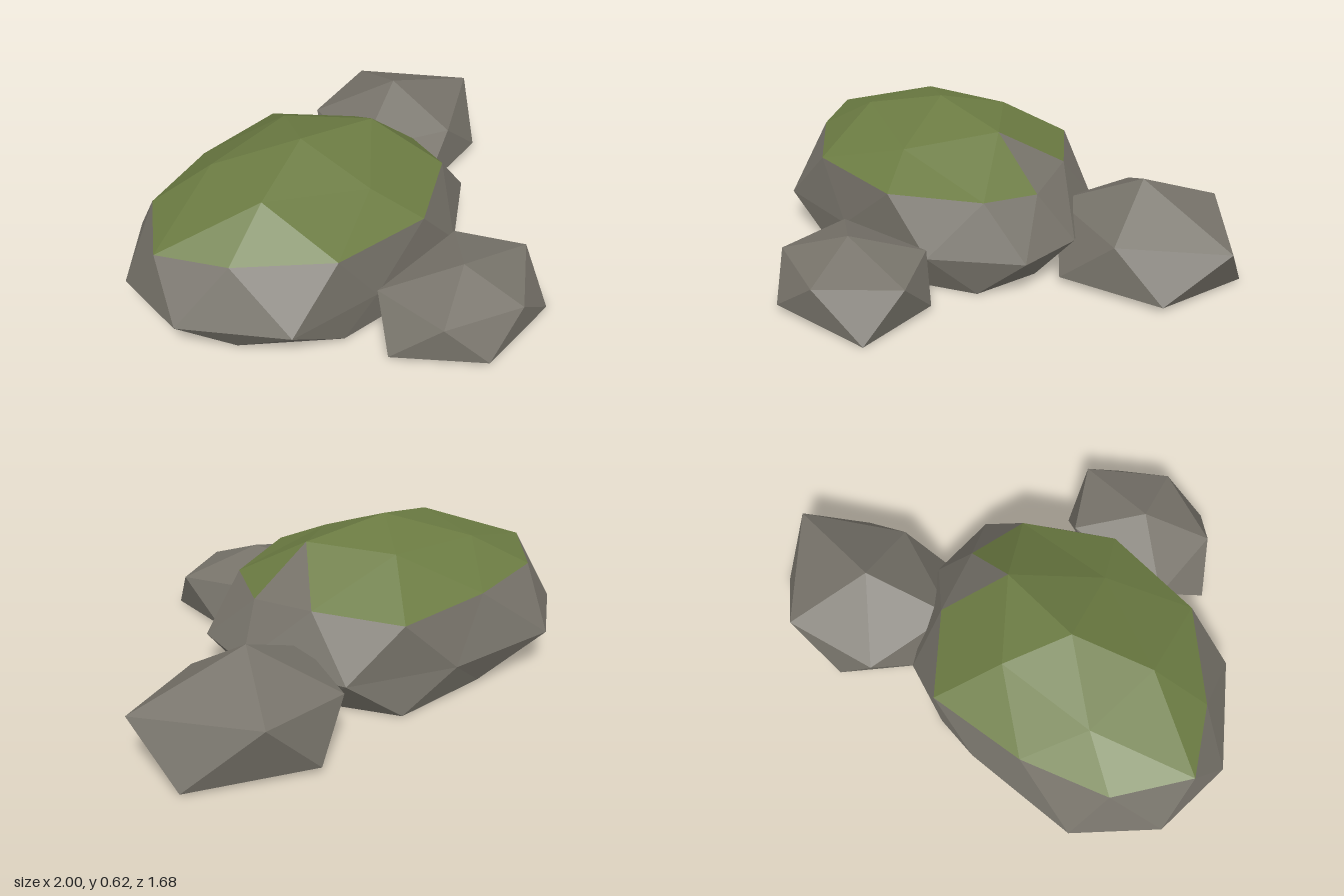
import * as THREE from 'three';

const stone = new THREE.MeshStandardMaterial({ name: 'stone grey', color: 0x77736a, flatShading: true });
const moss = new THREE.MeshStandardMaterial({ name: 'moss green', color: 0x6b7b42, flatShading: true });

// All rings run from +x towards +z; faces are wound to point outwards.
const fan = (top, ring) => ring.map((p, i) => [top, ring[(i + 1) % ring.length], p]);
const floorFan = (bottom, ring) => ring.map((p, i) => [bottom, p, ring[(i + 1) % ring.length]]);

// Joins two rings of equal count, the lower one turned half a step onwards.
function strip(upper, lower) {
  const n = upper.length;
  return upper.flatMap((p, i) => {
    const j = (i + 1) % n;
    return [[p, upper[j], lower[i]], [upper[j], lower[j], lower[i]]];
  });
}

// Joins a ring of n to a lower ring of 2n; three faces per upper corner.
function widen(upper, lower) {
  const n = upper.length, m = lower.length;
  return upper.flatMap((p, i) => [
    [p, lower[2 * i + 1], lower[2 * i]],
    [p, upper[(i + 1) % n], lower[2 * i + 1]],
    [p, lower[2 * i], lower[(2 * i + m - 1) % m]],
  ]);
}

function facetMesh(name, faces, material) {
  const geometry = new THREE.BufferGeometry();
  geometry.setAttribute('position', new THREE.Float32BufferAttribute(faces.flat(2), 3));
  geometry.computeVertexNormals();
  const mesh = new THREE.Mesh(geometry, material);
  mesh.name = name;
  return mesh;
}

// Large boulder with a mossy cap
function createBoulder() {
  const peak = [-0.27, 0.62, -0.11];
  const crown = [[0.09, 0.565, -0.11], [-0.16, 0.49, 0.18], [-0.57, 0.54, 0.04],
    [-0.57, 0.53, -0.3], [-0.16, 0.555, -0.37]];
  const shoulder = [[0.32, 0.37, -0.11], [0.27, 0.39, 0.13], [-0.04, 0.39, 0.36], [-0.47, 0.405, 0.37],
    [-0.79, 0.4, 0.13], [-0.96, 0.4, -0.11], [-0.79, 0.4, -0.4], [-0.45, 0.4, -0.55],
    [-0.04, 0.39, -0.63], [0.21, 0.4, -0.37]];
  const belly = [[0.45, 0.07], [0.16, 0.33], [-0.3, 0.39], [-0.7, 0.38], [-1, 0.05], [-1, -0.3],
    [-0.76, -0.58], [-0.27, -0.65], [0.18, -0.58], [0.43, -0.22]].map(([x, z]) => [x, 0.17, z]);
  const foot = [[0.28, 0.005, 0.17], [-0.04, 0.01, 0.36], [-0.45, 0.015, 0.37], [-0.79, 0.02, 0.14],
    [-0.91, 0.04, -0.11], [-0.79, 0.02, -0.4], [-0.45, 0.02, -0.55], [-0.04, 0.01, -0.63],
    [0.21, 0.01, -0.37], [0.32, 0.01, -0.11]];

  // One facet on the right of the cap stays bare stone
  const cap = [...fan(peak, crown), ...widen(crown, shoulder)];
  const isBare = (face) => face.includes(crown[0]) && face.includes(shoulder[0]) && face.includes(shoulder[9]);
  const sides = [...strip(shoulder, belly), ...strip(belly, foot), ...floorFan([-0.27, 0.005, -0.11], foot)];

  const boulder = new THREE.Group();
  boulder.name = 'boulder';
  boulder.add(
    facetMesh('mossCap', cap.filter((f) => !isBare(f)), moss),
    facetMesh('boulderSides', [...sides, ...cap.filter(isBare)], stone),
  );
  return boulder;
}

// Small twelve-cornered rock
function createRock(name, top, upper, lower, bottom) {
  return facetMesh(name, [...fan(top, upper), ...strip(upper, lower), ...floorFan(bottom, lower)], stone);
}

export function createModel() {
  const model = new THREE.Group();
  model.name = 'mossyRocks';
  model.add(createBoulder());
  model.add(createRock('frontRock', [-0.02, 0.285, 0.57],
    [[0.33, 0.2, 0.57], [0.07, 0.18, 0.81], [-0.26, 0.19, 0.72], [-0.3, 0.19, 0.39], [0.16, 0.21, 0.33]],
    [[0.29, 0.005, 0.74], [-0.13, 0.035, 0.84], [-0.4, 0.035, 0.57], [-0.13, 0.03, 0.31], [0.26, 0.03, 0.39]],
    [-0.02, 0.01, 0.57]));
  model.add(createRock('backRock', [0.54, 0.4, -0.49],
    [[1, 0.24, -0.49], [0.64, 0.22, -0.22], [0.22, 0.24, -0.33], [0.27, 0.24, -0.72], [0.64, 0.26, -0.84]],
    [[0.86, 0.03, -0.27], [0.43, 0.03, -0.14], [0.17, 0.02, -0.49], [0.41, 0.03, -0.81], [0.9, 0.015, -0.7]],
    [0.54, 0.015, -0.49]));
  return model;
}
